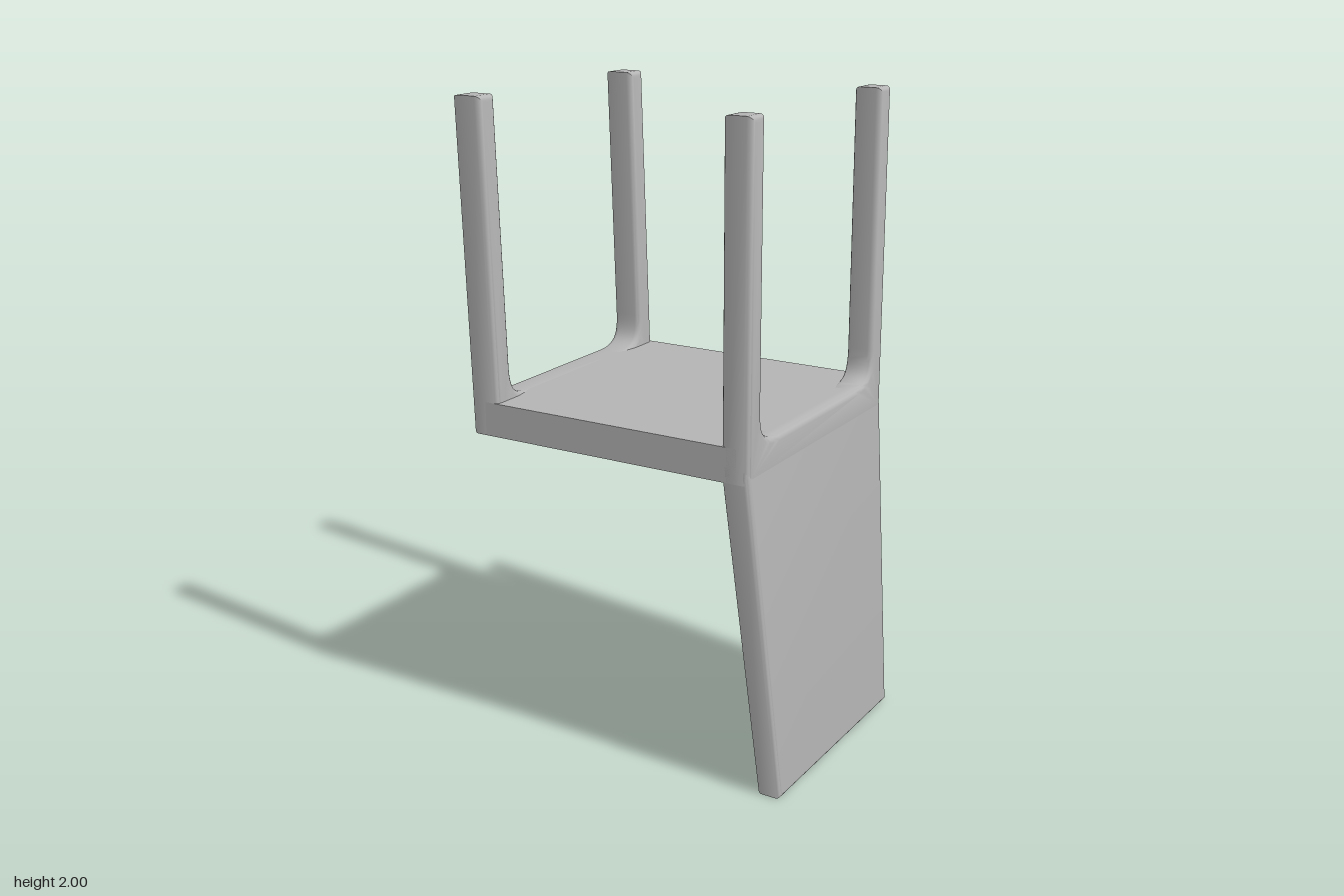
import * as THREE from 'three';
import { toCreasedNormals } from 'three/addons/utils/BufferGeometryUtils.js';

const HALF = 0.435;      // half depth in z
const LEG_IN = 0.36;     // inner face of the legs
const SEAT_LOW = 0.982, SEAT_HIGH = 1.087;
const TOP = 2;

// Extrudes a (z, y) profile along x with softened edges, centred on x = 0.
function slab(shape, thickness, bevel) {
  const geo = new THREE.ExtrudeGeometry(shape, {
    depth: thickness - 2 * bevel, curveSegments: 12,
    bevelEnabled: true, bevelThickness: bevel, bevelSize: bevel, bevelOffset: -bevel, bevelSegments: 4,
  });
  geo.translate(0, 0, -thickness / 2 + bevel);
  geo.rotateY(Math.PI / 2);
  return geo;
}

// Moves x by a rule depending on height.
function moveX(geo, rule) {
  const p = geo.attributes.position;
  for (let i = 0; i < p.count; i++) p.setX(i, rule(p.getX(i), p.getY(i)));
  return toCreasedNormals(geo, 0.7);
}

// Two legs joined by a seat rail, with fillets in the inner corners.
function legPairShape() {
  const s = new THREE.Shape();
  s.moveTo(-HALF, SEAT_LOW);
  s.lineTo(HALF, SEAT_LOW);
  s.lineTo(HALF, TOP);
  s.lineTo(LEG_IN, TOP);
  s.lineTo(LEG_IN, 1.19);
  s.bezierCurveTo(LEG_IN, 1.11, 0.335, SEAT_HIGH + 0.003, 0.25, SEAT_HIGH);
  s.lineTo(-0.25, SEAT_HIGH);
  s.bezierCurveTo(-0.335, SEAT_HIGH + 0.003, -LEG_IN, 1.11, -LEG_IN, 1.19);
  s.lineTo(-LEG_IN, TOP);
  s.lineTo(-HALF, TOP);
  s.closePath();
  return s;
}

export function createModel() {
  const model = new THREE.Group();
  model.name = 'upturnedChair';
  const grey = new THREE.MeshStandardMaterial({ color: 0xb4b4b4 });
  grey.name = 'plainGrey';

  const add = (name, geo) => {
    const mesh = new THREE.Mesh(geo, grey);
    mesh.name = name;
    model.add(mesh);
  };

  // Seat plate between the two leg pairs
  const seat = new THREE.BoxGeometry(0.87, SEAT_HIGH - SEAT_LOW, HALF * 2);
  seat.translate(-0.025, (SEAT_HIGH + SEAT_LOW) / 2, 0);
  add('seat', seat);

  // Straight legs on the backrest side
  add('backLegs', moveX(slab(legPairShape(), 0.09, 0.018), (x) => x + 0.405));

  // Splayed legs on the free side
  add('frontLegs', moveX(slab(legPairShape(), 0.1, 0.018),
    (x, y) => x - 0.46 - 0.03 * (y - SEAT_LOW) / (TOP - SEAT_LOW)));

  // Backrest, leaning outwards and narrowing towards the ground
  const back = new THREE.Shape([
    [-0.375, 0], [0.375, 0], [HALF, 1], [HALF, 1.03], [-HALF, 1.03], [-HALF, 1],
  ].map(([z, y]) => new THREE.Vector2(z, y)));
  add('backrest', moveX(slab(back, 0.09, 0.016),
    (x, y) => x * (0.87 + 0.13 * y) + 0.405 + 0.092 * (1 - y)));

  return model;
}
